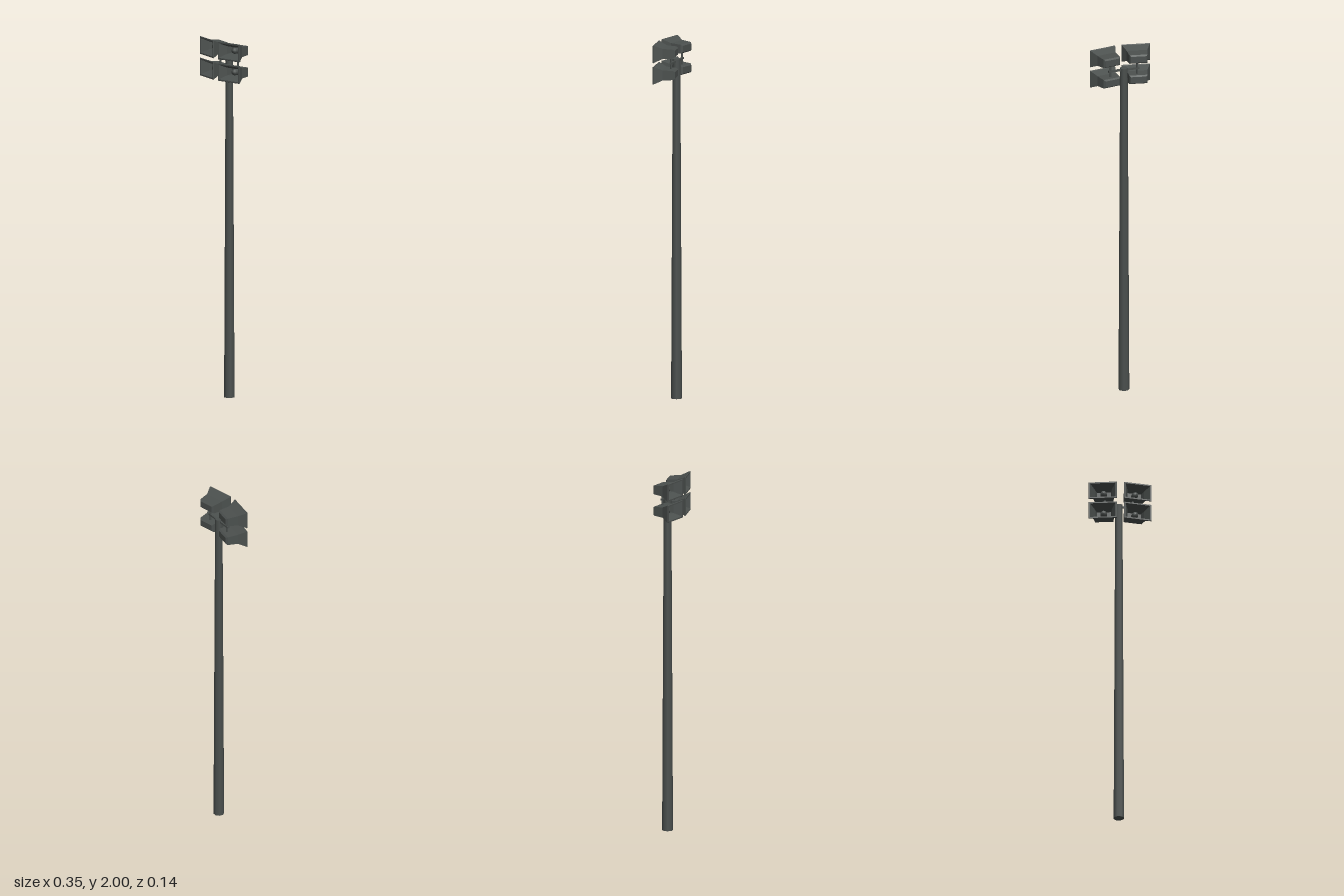
import * as THREE from 'three';

const POLE_Z = -0.033;

// Loft through rectangular sections [z, halfWidth, halfHeight], closed at both ends, hard edged
function loftRectangles(sections) {
  const pos = [];
  const corners = sections.map(([z, w, h]) => [[-w, -h, z], [w, -h, z], [w, h, z], [-w, h, z]]);
  const quad = (a, b, c, d) => pos.push(...a, ...b, ...c, ...a, ...c, ...d);
  for (let i = 0; i < corners.length - 1; i++) {
    const a = corners[i], b = corners[i + 1];
    for (let k = 0; k < 4; k++) {
      const n = (k + 1) % 4;
      quad(a[k], a[n], b[n], b[k]);
    }
  }
  const first = corners[0], last = corners[corners.length - 1];
  quad(first[3], first[2], first[1], first[0]);
  quad(last[0], last[1], last[2], last[3]);
  const geo = new THREE.BufferGeometry();
  geo.setAttribute('position', new THREE.Float32BufferAttribute(pos, 3));
  geo.computeVertexNormals();
  return geo;
}

function add(parent, name, geo, mat, x = 0, y = 0, z = 0) {
  const mesh = new THREE.Mesh(geo, mat);
  mesh.name = name;
  mesh.position.set(x, y, z);
  parent.add(mesh);
  return mesh;
}

export function createModel() {
  const model = new THREE.Group();
  model.name = 'loudspeakerPole';
  const metal = new THREE.MeshStandardMaterial({ color: 0x4b504e });
  metal.name = 'dark grey metal';

  // Tapered octagonal pole
  const poleGeo = new THREE.CylinderGeometry(0.021, 0.03, 1.9, 8);
  poleGeo.rotateY(Math.PI / 8);
  add(model, 'pole', poleGeo, metal, 0, 0.95, POLE_Z);

  // Crossbar carrying the horns
  add(model, 'crossbar', new THREE.BoxGeometry(0.18, 0.01, 0.012), metal, 0, 1.889, POLE_Z);

  // Flared outer shell, flat rim, then the hollow throat
  const hornGeo = loftRectangles([
    [-0.117, 0.043, 0.018],
    [-0.108, 0.051, 0.025],
    [-0.05, 0.057, 0.029],
    [-0.008, 0.077, 0.047],
    [-0.004, 0.079, 0.05],
    [0, 0.077, 0.048],
    [0, 0.07, 0.041],
    [-0.042, 0.047, 0.022],
    [-0.075, 0.038, 0.018],
  ]);

  // Rounded driver plug inside the throat
  const plugGeo = new THREE.LatheGeometry([
    [0.018, 0], [0.018, 0.022], [0.014, 0.034], [0, 0.038],
  ].map(([r, y]) => new THREE.Vector2(r, y)), 10);
  plugGeo.rotateX(Math.PI / 2);

  const strutGeo = new THREE.CylinderGeometry(0.006, 0.006, 0.075, 8);

  for (const side of [-1, 1]) {
    const sideName = side > 0 ? 'left' : 'right';
    for (const [level, y] of [['upper', 1.95], ['lower', 1.83]]) {
      const speaker = new THREE.Group();
      speaker.name = `${sideName}${level}Speaker`;
      speaker.position.set(side * 0.097, y, 0.051);
      speaker.rotation.y = side * 0.18;
      add(speaker, 'horn', hornGeo, metal);
      add(speaker, 'driverPlug', plugGeo, metal, 0, 0, -0.076);
      model.add(speaker);
    }
    // Short post linking the two horns through the crossbar
    add(model, `${sideName}Strut`, strutGeo, metal, side * 0.077, 1.89, POLE_Z);
  }
  return model;
}
